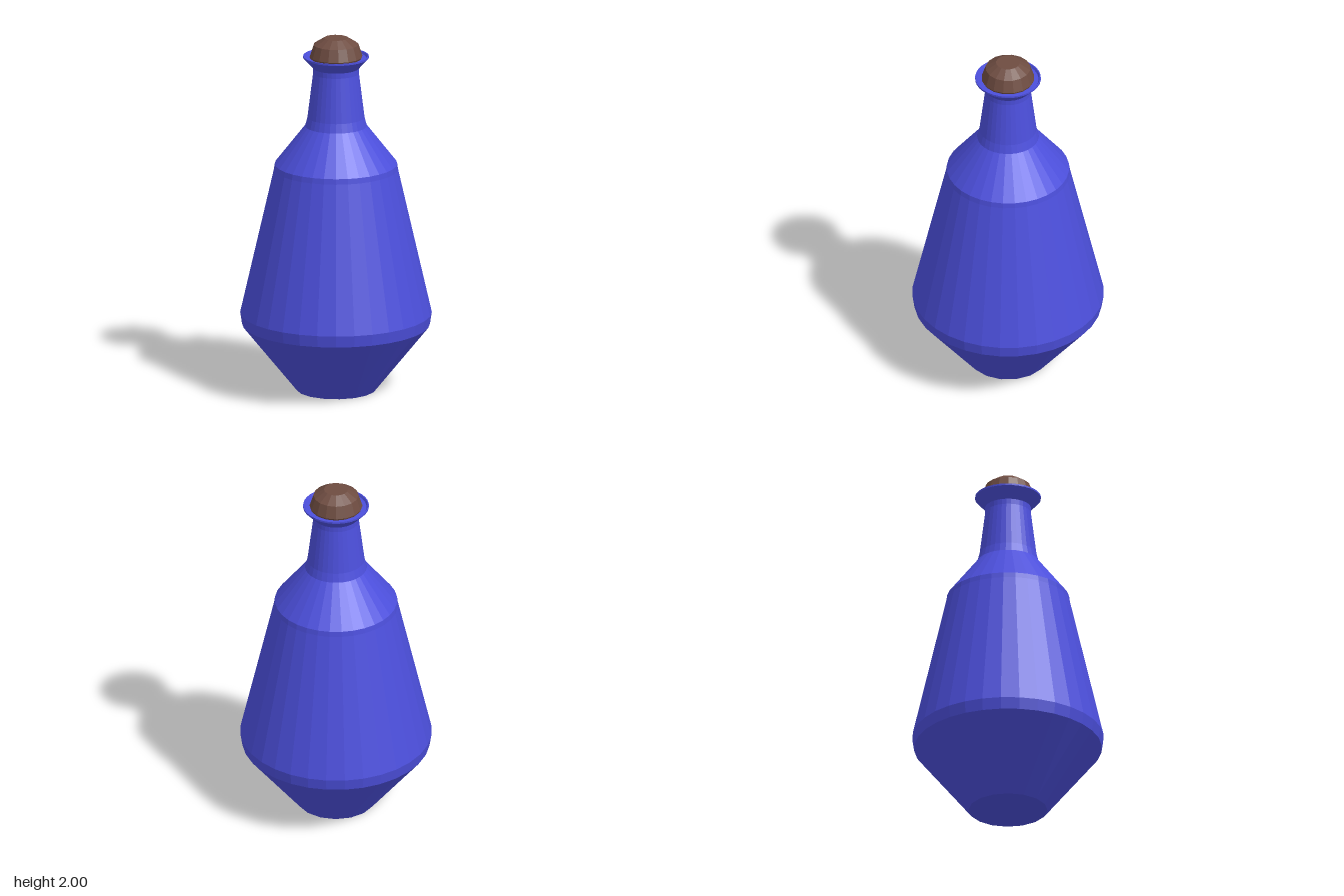
import * as THREE from 'three';

const SIDES = 32;

// Faceted solid of revolution, turned so that a flat side faces front
function turned(name, profile, sides, color, adjust) {
  const points = profile.map(([r, y]) => new THREE.Vector2(r, y));
  const lathe = new THREE.LatheGeometry(points, sides, Math.PI / sides);
  if (adjust) adjust(lathe.attributes.position, points.length);
  const geometry = lathe.toNonIndexed();
  geometry.computeVertexNormals();
  const material = new THREE.MeshStandardMaterial({ color, flatShading: true });
  const mesh = new THREE.Mesh(geometry, material);
  mesh.name = name;
  return mesh;
}

// The foot has half as many sides: each pair of its corners meets in one
function mergeFoot(position, rows) {
  for (let i = 0; i <= SIDES; i++) {
    const angle = (Math.floor((i % SIDES) / 2) * 2 + 1) * 2 * Math.PI / SIDES;
    const v = i * rows + 1;
    position.setX(v, 0.217 * Math.sin(angle));
    position.setZ(v, 0.217 * Math.cos(angle));
  }
}

export function createModel() {
  const model = new THREE.Group();
  model.name = 'bottle';

  // Glass: foot, belly, shoulder, neck, flared lip and recessed mouth
  model.add(turned('glassBody', [
    [0, 0], [0.217, 0],
    [0.517, 0.375], [0.527, 0.44],
    [0.341, 1.255], [0.337, 1.285],
    [0.17, 1.5], [0.157, 1.55],
    [0.126, 1.8], [0.127, 1.83],
    [0.181, 1.888], [0.181, 1.898], [0.175, 1.898],
    [0.168, 1.885], [0, 1.885],
  ], SIDES, 0x4c4fdc, mergeFoot));

  // Domed stopper
  model.add(turned('stopper', [
    [0.12, 1.84], [0.146, 1.895], [0.124, 1.963], [0.066, 2], [0, 2],
  ], 16, 0x6e4c41));

  return model;
}
